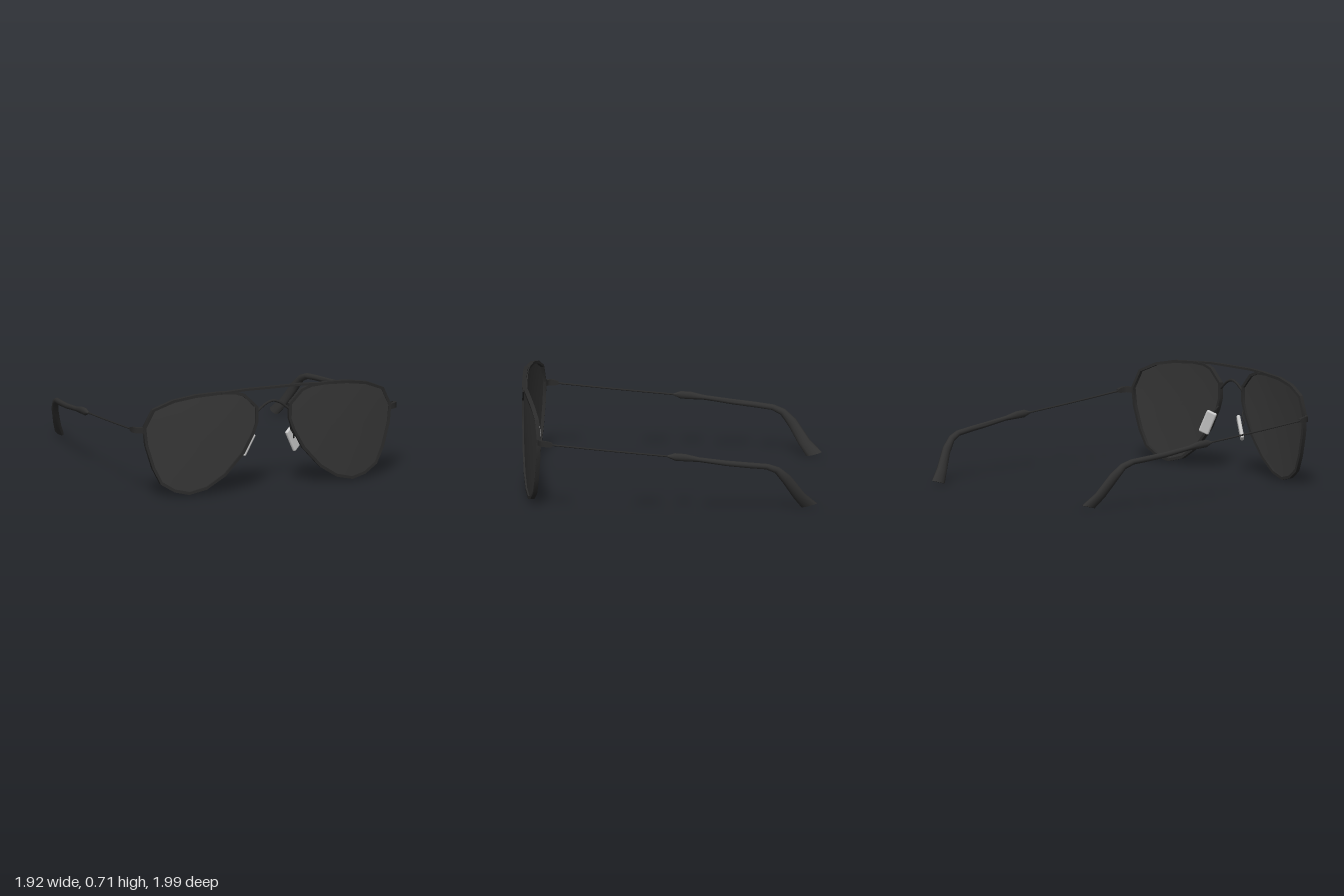
import * as THREE from 'three';
import { mergeVertices, toCreasedNormals } from 'three/addons/utils/BufferGeometryUtils.js';
import { RoundedBoxGeometry } from 'three/addons/geometries/RoundedBoxGeometry.js';

const V = (x, y, z) => new THREE.Vector3(x, y, z);
const frameMat = new THREE.MeshStandardMaterial({ color: 0x2a2a2a });
const tipMat = new THREE.MeshStandardMaterial({ color: 0x303030 });
const lensMat = new THREE.MeshStandardMaterial({ color: 0x363636, side: THREE.DoubleSide });
const padMat = new THREE.MeshStandardMaterial({ color: 0xcccccc });

// Wrap curve of the whole front: depth falls away towards the sides
const frontZ = (x) => 0.984 - 0.145 * x * x;

// Lens outline, from the inner top corner, counterclockwise seen from the front
const OUTLINE = [
  [0.2, 0.68], [0.112, 0.59], [0.11, 0.485], [0.135, 0.41], [0.21, 0.27], [0.34, 0.125],
  [0.47, 0.04], [0.59, 0.01], [0.69, 0.033], [0.78, 0.09], [0.835, 0.2], [0.882, 0.36],
  [0.895, 0.485], [0.835, 0.61], [0.7, 0.67], [0.545, 0.7], [0.37, 0.71], [0.265, 0.703],
];
const CENTRE = [0.52, 0.4];

// Skin through cross-sections that run counterclockwise around the path
function loft(sections, closed = false) {
  const n = sections[0].length, m = sections.length, index = [];
  for (let i = 0; i < (closed ? m : m - 1); i++) {
    for (let j = 0; j < n; j++) {
      const k = (j + 1) % n, i2 = (i + 1) % m;
      const a = i * n + j, b = i * n + k, c = i2 * n + k, d = i2 * n + j;
      index.push(a, b, c, a, c, d);
    }
  }
  if (!closed) {
    for (let j = 1; j < n - 1; j++) {
      const e = (m - 1) * n;
      index.push(0, j + 1, j, e, e + j, e + j + 1);
    }
  }
  const g = new THREE.BufferGeometry().setFromPoints(sections.flat());
  g.setIndex(index);
  g.computeVertexNormals();
  return g;
}

// Point on the outline, moved towards the lens centre by a fixed distance
function inset([x, y], d) {
  const dx = CENTRE[0] - x, dy = CENTRE[1] - y, l = Math.hypot(dx, dy);
  return [x + (dx / l) * d, y + (dy / l) * d];
}

function rimGeometry() {
  return loft(OUTLINE.map((p) => {
    const [x, y] = p, [ix, iy] = inset(p, 0.02), z = frontZ(x);
    return [V(x, y, z + 0.011), V(x, y, z - 0.017), V(ix, iy, z - 0.017), V(ix, iy, z + 0.011)];
  }), true);
}

// Curved lens: rings of the outline shrinking to its centre
function lensGeometry() {
  const pts = [], index = [], n = OUTLINE.length, rings = 6;
  for (let r = 0; r <= rings; r++) {
    const s = 1 - r / rings;
    for (const p of OUTLINE) {
      const [ox, oy] = inset(p, 0.01);
      const x = CENTRE[0] + (ox - CENTRE[0]) * s, y = CENTRE[1] + (oy - CENTRE[1]) * s;
      pts.push(V(x, y, frontZ(x) + 0.006 * (1 - s * s)));
    }
  }
  for (let r = 0; r < rings; r++) {
    for (let j = 0; j < n; j++) {
      const k = (j + 1) % n, a = r * n + j, b = r * n + k, c = b + n, d = a + n;
      index.push(a, b, c);
      if (r < rings - 1) index.push(a, c, d);
    }
  }
  const g = new THREE.BufferGeometry().setFromPoints(pts);
  g.setIndex(index);
  g.computeVertexNormals();
  return g;
}

// Bent lug: x, z, outward normal x and z, y, half height
function hingeGeometry() {
  const rows = [
    [0.875, 0.868, 0.3, 0.95, 0.468, 0.019], [0.915, 0.856, 0.5, 0.87, 0.468, 0.019],
    [0.936, 0.84, 0.8, 0.6, 0.468, 0.019], [0.943, 0.815, 1, 0, 0.467, 0.019],
    [0.943, 0.79, 1, 0, 0.464, 0.016], [0.943, 0.772, 1, 0, 0.462, 0.011],
  ];
  return loft(rows.map(([x, z, nx, nz, y, h]) => {
    const a = nx * 0.011, b = nz * 0.011;
    return [V(x + a, y + h, z + b), V(x + a, y - h, z + b),
      V(x - a, y - h, z - b), V(x - a, y + h, z - b)];
  }));
}

// Temple tip: x, half width, then z and y of the upper and the lower edge
function tipGeometry() {
  const rows = [
    [0.942, 0.009, 0.0, 0.394, 0.0, 0.381], [0.944, 0.016, -0.05, 0.41, -0.05, 0.358],
    [0.945, 0.017, -0.12, 0.405, -0.12, 0.354], [0.945, 0.015, -0.21, 0.383, -0.21, 0.35],
    [0.937, 0.015, -0.4, 0.359, -0.4, 0.321], [0.923, 0.017, -0.55, 0.344, -0.55, 0.304],
    [0.904, 0.02, -0.675, 0.33, -0.66, 0.292], [0.888, 0.022, -0.75, 0.303, -0.72, 0.264],
    [0.866, 0.024, -0.825, 0.239, -0.777, 0.185], [0.82, 0.025, -0.917, 0.11, -0.842, 0.078],
    [0.778, 0.026, -1.0, 0.032, -0.895, 0.004],
  ];
  const sides = 12;
  return loft(rows.map(([x, w, zt, yt, zb, yb]) => Array.from({ length: sides }, (_, j) => {
    const t = (j / sides) * Math.PI * 2, c = Math.cos(t), s = Math.sin(t) / 2;
    return V(x + w * c, (yt + yb) / 2 + (yb - yt) * s, (zt + zb) / 2 + (zb - zt) * s);
  })));
}

const wire = (pts, radius, segments = 16) =>
  new THREE.TubeGeometry(new THREE.CatmullRomCurve3(pts), segments, radius, 8, false);

// Nose pad lying along the side of the nose
function padGeometry() {
  const along = V(-0.07, 0.15, 0.02).normalize();
  const out = V(-0.6, 0, -0.75);
  out.addScaledVector(along, -out.dot(along)).normalize();
  const across = new THREE.Vector3().crossVectors(along, out);
  const m = new THREE.Matrix4().makeBasis(across, along, out).setPosition(0.168, 0.32, 0.908);
  return new RoundedBoxGeometry(0.074, 0.165, 0.026, 3, 0.012).applyMatrix4(m);
}

// Mirror across x and turn the faces back outwards
function mirrored(geo) {
  const g = geo.index ? geo.clone() : mergeVertices(geo);
  g.scale(-1, 1, 1);
  const a = g.index.array;
  for (let i = 0; i < a.length; i += 3) [a[i], a[i + 1]] = [a[i + 1], a[i]];
  return g;
}

export function createModel() {
  const model = new THREE.Group();
  model.name = 'sunglasses';
  const add = (name, geo, mat, crease = 0) => {
    const mesh = new THREE.Mesh(crease ? toCreasedNormals(geo, crease) : geo, mat);
    mesh.name = name;
    model.add(mesh);
  };
  const pair = (name, geo, mat, crease) => {
    add('left' + name, geo, mat, crease);
    add('right' + name, mirrored(geo), mat, crease);
  };

  pair('Lens', lensGeometry(), lensMat);
  pair('Rim', rimGeometry(), frameMat, 0.7);
  pair('Hinge', hingeGeometry(), frameMat, 0.7);
  pair('TempleWire', wire([V(0.943, 0.462, 0.785), V(0.942, 0.424, 0.4), V(0.942, 0.386, -0.02)], 0.006), frameMat);
  pair('TempleTip', tipGeometry(), tipMat, 0.9);
  pair('NosePad', padGeometry(), padMat);
  pair('PadArm', wire([V(0.128, 0.43, 0.972), V(0.142, 0.4, 0.95), V(0.165, 0.36, 0.945), V(0.172, 0.33, 0.918)], 0.006), frameMat);

  // Straight flat bar along the top
  const bar = [-0.37, -0.2, 0, 0.2, 0.37].map((x) => {
    const y = 0.712 - 0.06 * Math.max(0, Math.abs(x) - 0.2), z = 0.98 - 0.05 * x * x;
    return [V(x, y + 0.007, z - 0.014), V(x, y + 0.007, z + 0.014),
      V(x, y - 0.007, z + 0.014), V(x, y - 0.007, z - 0.014)];
  });
  add('browBar', loft(bar), frameMat, 0.7);

  // Arched bridge over the nose
  add('noseBridge', wire([V(-0.118, 0.55, 0.978), V(-0.05, 0.602, 0.978), V(0, 0.618, 0.978),
    V(0.05, 0.602, 0.978), V(0.118, 0.55, 0.978)], 0.009, 24), frameMat);
  return model;
}
